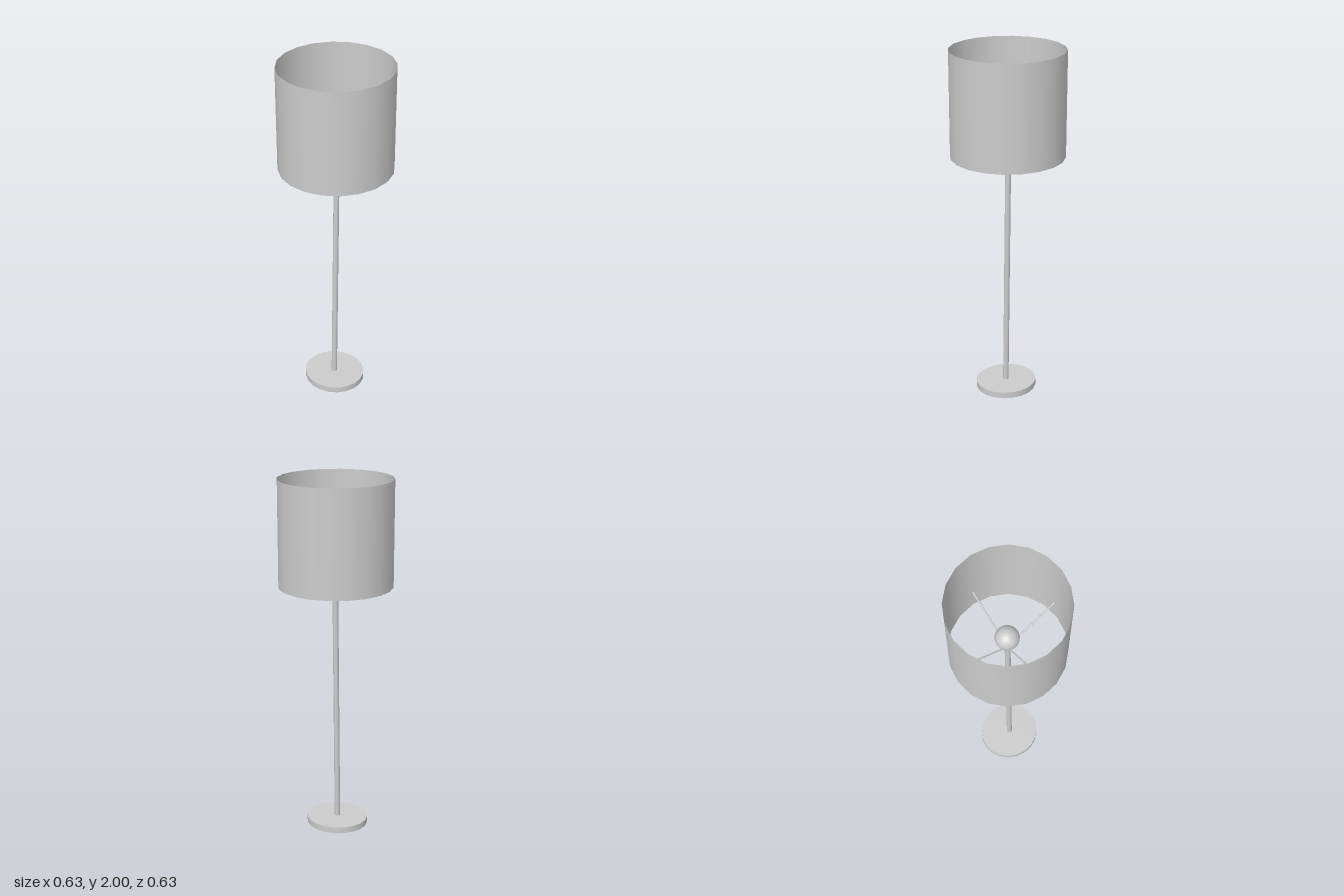
import * as THREE from 'three';

const material = new THREE.MeshStandardMaterial({ color: 0xcccccc });
const thinMaterial = new THREE.MeshStandardMaterial({ color: 0xcccccc, side: THREE.DoubleSide });

// Round rod between two points
function rod(name, from, to, radius, sides) {
  const a = new THREE.Vector3(...from);
  const b = new THREE.Vector3(...to);
  const dir = b.clone().sub(a);
  const mesh = new THREE.Mesh(new THREE.CylinderGeometry(radius, radius, dir.length(), sides), material);
  mesh.name = name;
  mesh.position.copy(a).add(b).multiplyScalar(0.5);
  mesh.quaternion.setFromUnitVectors(new THREE.Vector3(0, 1, 0), dir.normalize());
  return mesh;
}

export function createModel() {
  const lamp = new THREE.Group();
  lamp.name = 'floorLamp';

  // Flat, slightly oval foot
  const base = new THREE.Mesh(new THREE.CylinderGeometry(0.177, 0.177, 0.036, 20), material);
  base.name = 'base';
  base.scale.x = 0.952;
  base.position.set(-0.014, 0.018, 0);
  lamp.add(base);

  // Slightly leaning pole
  lamp.add(rod('pole', [-0.016, 0.03, 0], [0.003, 1.46, 0], 0.016, 16));

  // Bulb: narrow socket flaring into a globe
  const profile = [[0, 1.455], [0.018, 1.455], [0.022, 1.48], [0.04, 1.51]];
  for (let i = 0; i <= 10; i++) {
    const t = -0.7 + (i / 10) * (Math.PI / 2 + 0.7);
    profile.push([i === 10 ? 0 : 0.065 * Math.cos(t), 1.575 + 0.065 * Math.sin(t)]);
  }
  const bulb = new THREE.Mesh(
    new THREE.LatheGeometry(profile.map(([r, y]) => new THREE.Vector2(r, y)), 24), material);
  bulb.name = 'bulb';
  bulb.position.set(0.001, 0, -0.004);
  lamp.add(bulb);

  // Four arms rising from the pole to the shade
  const arms = new THREE.Group();
  arms.name = 'shadeArms';
  const armEnds = [[0.305, -0.007], [0, -0.307], [-0.308, 0.01], [0.012, 0.303]];
  for (const [x, z] of armEnds) arms.add(rod('shadeArm', [0.002, 1.44, -0.003], [x, 1.6, z], 0.005, 8));
  lamp.add(arms);

  // Open drum shade
  const shade = new THREE.Mesh(
    new THREE.CylinderGeometry(0.316, 0.316, 0.588, 20, 1, true), thinMaterial);
  shade.name = 'shade';
  shade.position.set(-0.001, 1.706, 0);
  lamp.add(shade);

  return lamp;
}
